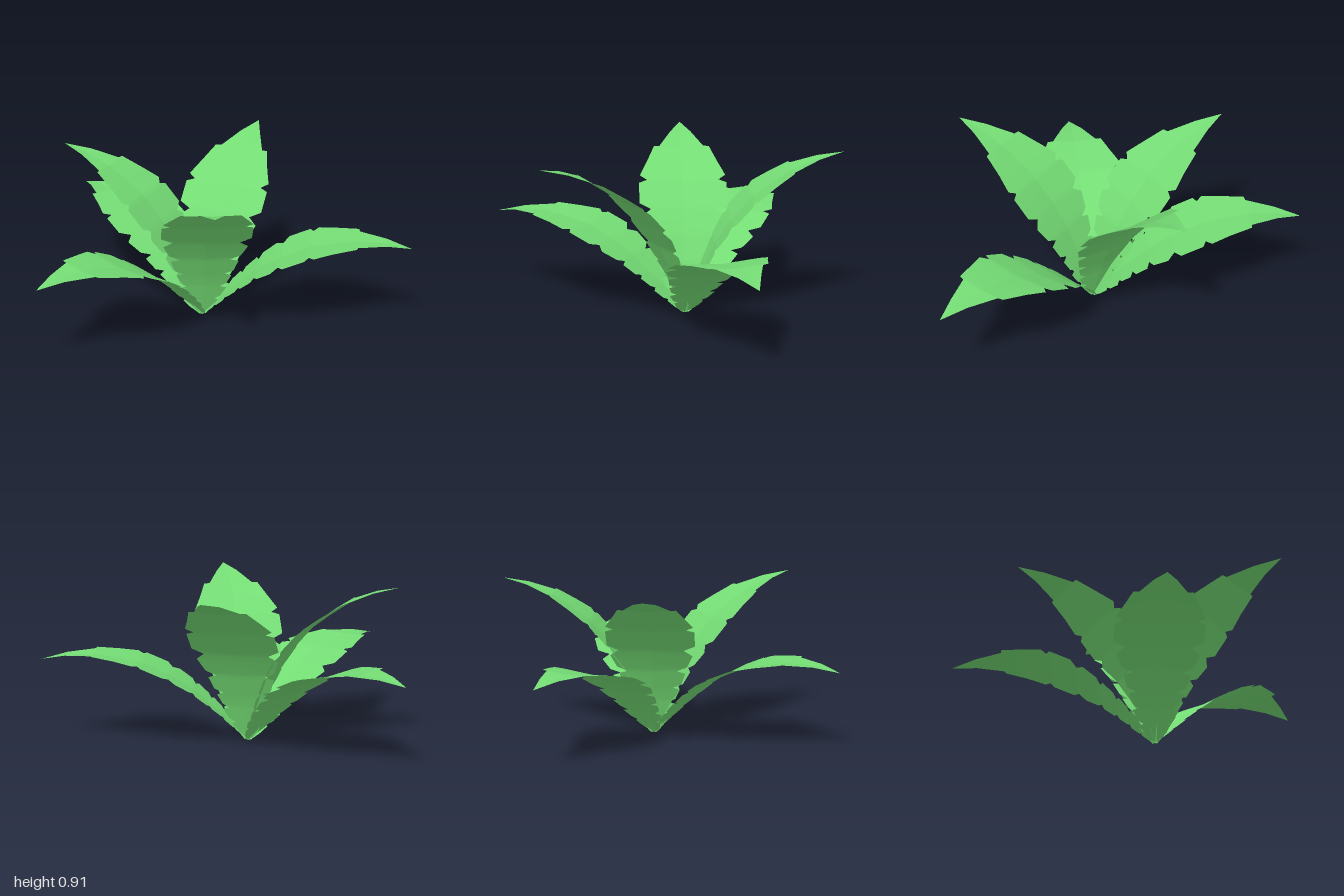
import * as THREE from 'three';

// Midrib arc of one leaf: [distance from root, height]
const RIB = [[0, 0], [0.17, 0.175], [0.32, 0.3], [0.45, 0.38], [0.61, 0.45], [0.84, 0.5], [1.03, 0.495], [1.17, 0.47]];

// Serrated edge: [distance from root, half width], teeth pointing to the tip
const EDGE = [
  [0, 0.02], [0.04, 0.065], [0.07, 0.085], [0.075, 0.065], [0.09, 0.1], [0.13, 0.13], [0.14, 0.095],
  [0.155, 0.13], [0.2, 0.155], [0.215, 0.115], [0.23, 0.165], [0.29, 0.19], [0.305, 0.14],
  [0.325, 0.2], [0.4, 0.235], [0.44, 0.185], [0.47, 0.25], [0.59, 0.25], [0.61, 0.205],
  [0.64, 0.245], [0.74, 0.205], [0.87, 0.16], [0.875, 0.128], [1.03, 0.06], [1.17, 0],
];
const FOLD = 0.07; // rise of the edges above the midrib, per unit of width

function ribHeight(r) {
  const i = Math.max(1, RIB.findIndex((p) => p[0] >= r));
  const [r0, y0] = RIB[i - 1];
  const [r1, y1] = RIB[i];
  return y0 + ((y1 - y0) * (r - r0)) / (r1 - r0);
}

// One half of the blade, from the midrib out to the edge on the given side
function bladeHalf(side) {
  const pos = [];
  const index = [];
  EDGE.forEach(([r, w], i) => {
    const y = ribHeight(r);
    pos.push(0, y, r, side * w, y + FOLD * w, r);
    if (i === 0) return;
    const a = 2 * i - 2, b = a + 1, c = a + 2, d = a + 3;
    if (side > 0) index.push(a, c, b, b, c, d);
    else index.push(a, b, c, b, d, c);
  });
  const geo = new THREE.BufferGeometry();
  geo.setAttribute('position', new THREE.Float32BufferAttribute(pos, 3));
  geo.setIndex(index);
  geo.computeVertexNormals();
  return geo;
}

export function createModel() {
  const plant = new THREE.Group();
  plant.name = 'plant';
  const green = new THREE.MeshStandardMaterial({ color: 0x74dc74, side: THREE.DoubleSide });
  const halves = [['leftHalf', bladeHalf(1)], ['rightHalf', bladeHalf(-1)]];

  function addLeaf(name, dx, dz, tilt) {
    const leaf = new THREE.Group();
    leaf.name = name;
    for (const [halfName, geo] of halves) {
      const mesh = new THREE.Mesh(geo, green);
      mesh.name = halfName;
      leaf.add(mesh);
    }
    leaf.position.set(0.17, 0, -0.18);
    leaf.rotation.set(-tilt, Math.atan2(dx, dz), 0, 'YXZ');
    plant.add(leaf);
  }

  // Three low, spreading leaves
  [[-1.17, 0], [0.83, -0.81], [0.07, 1.16]].forEach(([x, z], i) => addLeaf('lowLeaf' + (i + 1), x, z, 0));
  // Three steeper leaves in the gaps
  [[-0.43, -0.76], [-0.77, 0.42], [0.71, 0.49]].forEach(([x, z], i) => addLeaf('highLeaf' + (i + 1), x, z, 0.424));
  return plant;
}
